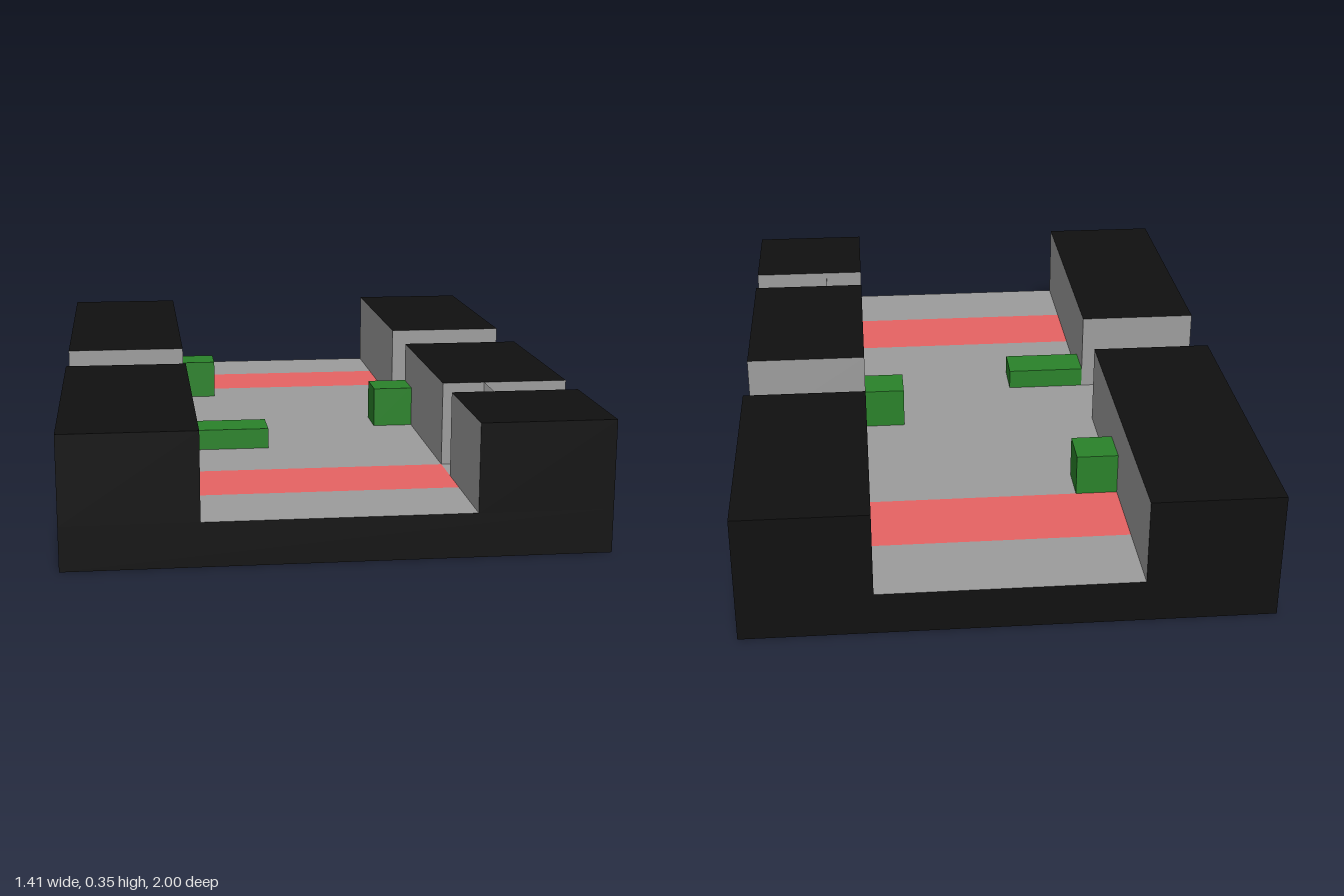
import * as THREE from 'three';
import { mergeGeometries } from 'three/addons/utils/BufferGeometryUtils.js';

const U = 2 / 17; // one grid cell; all numbers below are in cells

// Flat rectangle across axis 'x', 'y' or 'z' at position p, spanning the other two axes; dir = way it faces
function rect(axis, p, a0, a1, b0, b1, dir = 1) {
  const g = new THREE.PlaneGeometry(a1 - a0, b1 - b0);
  const a = (a0 + a1) / 2, b = (b0 + b1) / 2;
  if (axis === 'x') g.rotateY(dir * Math.PI / 2).translate(p, b, a);   // a = z, b = y
  if (axis === 'y') g.rotateX(-dir * Math.PI / 2).translate(a, p, b);  // a = x, b = z
  if (axis === 'z') g.rotateY(dir > 0 ? 0 : Math.PI).translate(a, b, p); // a = x, b = y
  return g;
}

export function createModel() {
  const model = new THREE.Group();
  model.name = 'arena';
  const mat = (color) => new THREE.MeshStandardMaterial({ color, side: THREE.DoubleSide, flatShading: true });
  const grey = mat(0x9c9c9c), black = mat(0x101010), red = mat(0xe66363), green = mat(0x2a822a), pale = mat(0xcccccc);
  const add = (name, material, rects, parent = model) => {
    const mesh = new THREE.Mesh(mergeGeometries(rects).scale(U, U, U), material);
    mesh.name = name;
    parent.add(mesh);
  };

  // Floor strips [x0, x1, z0, z1], left open beneath the crates and blocks
  add('floor', grey, [
    [-3, 3, -8.5, -6.5], [-2, 3, -4.5, -3.5], [-3, 3, -3.5, -2.5], [-3, 6, -2.5, -0.5],
    [-6, 2, -0.5, 0.5], [-6, 3, 0.5, 1.5], [-1, 3, 1.5, 2.5], [-3, 3, 2.5, 4.5],
    [3, 6, 4.5, 5.5], [-3, 3, 6.5, 8.5],
  ].map((s) => rect('y', 1, ...s)));
  add('backZone', red, [rect('y', 1, -3, 3, -6.5, -4.5)]);
  add('frontZone', red, [rect('y', 1, -3, 3, 4.5, 6.5)]);

  // Low outer skirt and the flat rim under it
  add('skirt', black, [-1, 1].flatMap((s) => [
    rect('x', 6 * s, -8.5, 8.5, 0, 1, s),
    rect('z', 8.5 * s, -6, 6, 0, 1, s),
  ]));
  add('bottomRim', grey, [-1, 1].flatMap((s) => [
    rect('y', 0, 5.5 * s - 0.5, 5.5 * s + 0.5, -8.5, 8.5, -1),
    rect('y', 0, -5, 5, 8 * s - 0.5, 8 * s + 0.5, -1),
  ]));

  // Hollow blocks: [side, z0, z1]; black outside and on top, grey towards the floor
  [[1, -8.5, -2.5], [1, -0.5, 4.5], [1, 5.5, 8.5], [-1, -8.5, -0.5], [-1, 1.5, 8.5]].forEach(([s, z0, z1]) => {
    const block = new THREE.Group();
    block.name = s > 0 ? 'leftBlock' : 'rightBlock';
    const x0 = Math.min(3 * s, 6 * s), x1 = x0 + 3;
    const outer = [rect('y', 3, x0, x1, z0, z1), rect('x', 6 * s, z0, z1, 1, 3, s)];
    const inner = [rect('x', 3 * s, z0, z1, 1, 3, -s)];
    [[z0, -1], [z1, 1]].forEach(([z, dir]) =>
      (Math.abs(z) === 8.5 ? outer : inner).push(rect('z', z, x0, x1, 1, 3, dir)));
    add('blockShell', black, outer, block);
    add('blockInnerWalls', grey, inner, block);
    model.add(block);
  });

  // Door panel in the narrow passage
  add('door', pale, [rect('x', 4, 4.5, 5.5, 1, 3)]);

  // Crates against the block walls: [side, length, z0, top]
  [[-1, 1, -4.5, 2], [-1, 2, 1.5, 1.5], [1, 1, -0.5, 2]].forEach(([s, len, z, top]) => {
    const face = s * (3 - len), x0 = Math.min(3 * s, face), x1 = x0 + len;
    add('crate', green, [
      rect('y', top, x0, x1, z, z + 1),
      rect('x', face, z, z + 1, 1, top, -s),
      rect('z', z, x0, x1, 1, top, -1),
      rect('z', z + 1, x0, x1, 1, top, 1),
    ]);
  });
  return model;
}
